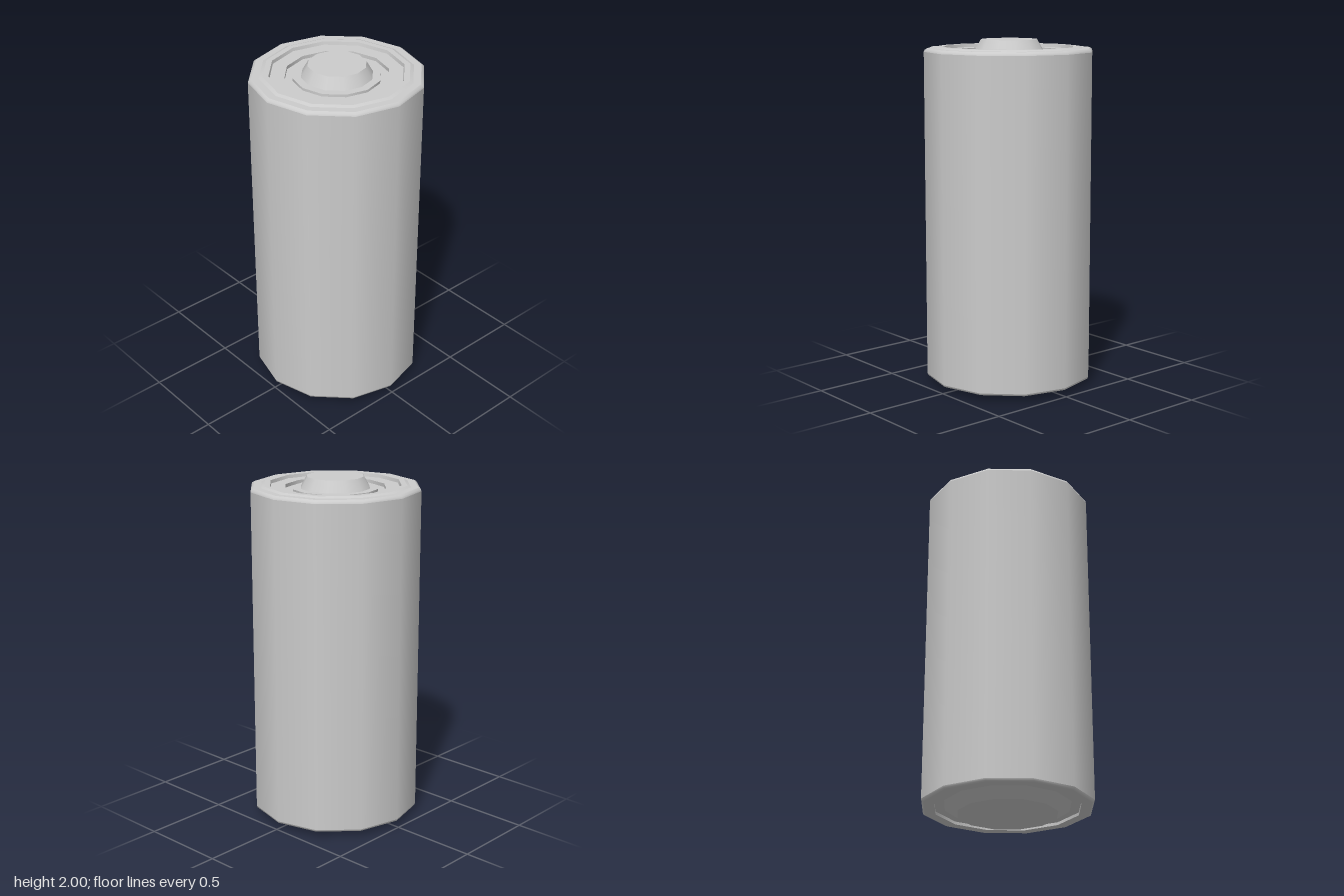
import * as THREE from 'three';

const SIDES = 12;
const material = new THREE.MeshStandardMaterial({ color: 0xcccccc });

// Revolves each profile (listed from bottom to top along the outside) as its
// own smooth band, so edges between bands stay sharp.
function turned(name, bands) {
  const group = new THREE.Group();
  group.name = name;
  bands.forEach((band, i) => {
    const points = band.map(([r, y]) => new THREE.Vector2(r, y));
    const mesh = new THREE.Mesh(new THREE.LatheGeometry(points, SIDES), material);
    mesh.name = `${name}Band${i + 1}`;
    group.add(mesh);
  });
  return group;
}

// Splits a profile into one hard-edged band per segment
const hard = (points) => points.slice(1).map((p, i) => [points[i], p]);

export function createModel() {
  const model = new THREE.Group();
  model.name = 'battery';

  model.add(
    // Raised negative contact with a sloped edge
    turned('bottomContact', hard([[0, 0], [0.285, 0], [0.36, 0.05]])),

    // Sunken ring between the contact and the bottom rim
    turned('bottomGroove', hard([[0.36, 0.05], [0.415, 0.05], [0.415, 0.033]])),

    // Sleeve with softly rounded rims
    turned('sleeve', [
      [[0.415, 0.033], [0.475, 0.033]],
      [[0.475, 0.033], [0.485, 0.037], [0.489, 0.048]],
      [[0.489, 0.048], [0.489, 1.932]],
      [[0.489, 1.932], [0.485, 1.943], [0.472, 1.951]],
      [[0.472, 1.951], [0.43, 1.951]],
    ]),

    // Lip inside the top rim
    turned('topLip', hard([[0.43, 1.951], [0.41, 1.959], [0.377, 1.959], [0.373, 1.94]])),

    // Stepped top plate with a groove around the terminal
    turned('topPlate', hard([
      [0.373, 1.94], [0.29, 1.94], [0.29, 1.92], [0.245, 1.92], [0.245, 1.935], [0.2, 1.935],
    ])),

    // Positive terminal button
    turned('topTerminal', hard([[0.2, 1.935], [0.163, 2], [0, 2]])),
  );

  return model;
}
